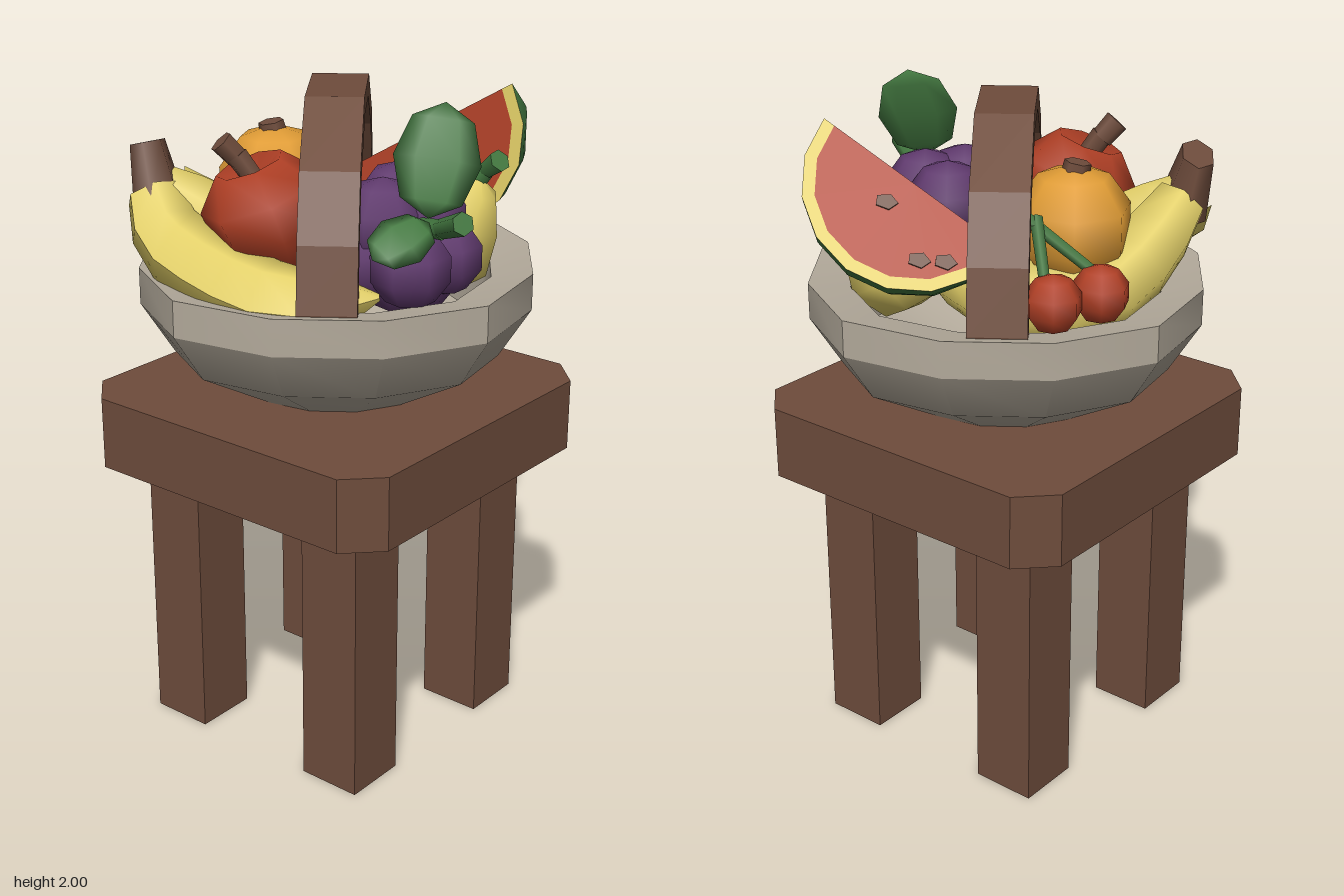
import * as THREE from 'three';
import { toCreasedNormals } from 'three/addons/utils/BufferGeometryUtils.js';

const mat = (name, color) => {
  const m = new THREE.MeshStandardMaterial({ color });
  m.name = name;
  return m;
};
const V = (a) => new THREE.Vector3(...a);

export function createModel() {
  const root = new THREE.Group();
  root.name = 'fruitBasketOnStool';
  const wood = mat('wood', 0x6e4c3c);
  const stone = mat('bowlGrey', 0xb3aa9b);
  const yellow = mat('yellow', 0xe0cd66);
  const orange = mat('orange', 0xe09c35);
  const red = mat('red', 0xb04026);
  const purple = mat('purple', 0x603a6e);
  const green = mat('green', 0x437840);

  const add = (name, geo, material, pos = [0, 0, 0], parent = root) => {
    const m = new THREE.Mesh(geo, material);
    m.name = name;
    m.position.set(...pos);
    parent.add(m);
    return m;
  };
  // turn a mesh so its own y axis follows dir
  const aim = (m, dir) => {
    m.quaternion.setFromUnitVectors(new THREE.Vector3(0, 1, 0), V(dir).normalize());
    return m;
  };
  // tapered rod from a to b
  const rod = (name, a, b, ra, rb, material, sides = 6) => {
    const d = V(b).sub(V(a));
    const mid = V(a).add(V(b)).multiplyScalar(0.5);
    return aim(add(name, new THREE.CylinderGeometry(rb, ra, d.length(), sides), material, mid.toArray()), d.toArray());
  };
  const lathe = (pts, sides) => new THREE.LatheGeometry(pts.map((p) => new THREE.Vector2(...p)), sides);

  // stool seat with cut corners
  const h = 0.545, c = 0.445;
  const seat = new THREE.Shape([[-c, -h], [c, -h], [h, -c], [h, c], [c, h], [-c, h], [-h, c], [-h, -c]]
    .map((p) => new THREE.Vector2(...p)));
  const seatGeo = new THREE.ExtrudeGeometry(seat, { depth: 0.22, bevelEnabled: false });
  seatGeo.rotateX(-Math.PI / 2);
  add('seat', seatGeo, wood, [0.005, 0.87, 0.012]);
  for (const sx of [-1, 1]) for (const sz of [-1, 1]) {
    add('leg', new THREE.BoxGeometry(0.197, 0.88, 0.197), wood, [0.004 + sx * 0.301, 0.44, 0.014 + sz * 0.303]);
  }

  // bowl: twelve sides, every third corner reaching further out
  const profile = [[0, 1.09], [0.27, 1.09], [0.51, 1.225], [0.607, 1.375],
    [0.607, 1.483], [0.48, 1.463], [0.445, 1.27], [0.25, 1.17], [0, 1.16]];
  const bowlGeo = lathe(profile, 12);
  const bp = bowlGeo.attributes.position;
  for (let k = 0; k < bp.count; k++) {
    const f = Math.floor(k / profile.length) % 3 === 0 ? 1 : 0.96;
    bp.setXYZ(k, bp.getX(k) * f, bp.getY(k), bp.getZ(k) * f);
  }
  add('bowl', toCreasedNormals(bowlGeo, 0.535), stone).rotation.y = -0.15;

  // arched strap handle
  const outer = [[0.51, 1.36], [0.525, 1.48], [0.48, 1.66], [0.375, 1.835], [0.15, 1.985]];
  const inner = [[0.105, 1.93], [0.325, 1.795], [0.42, 1.64], [0.465, 1.47], [0.45, 1.36]];
  const flip = (pts) => pts.map(([x, y]) => [-x, y]).reverse();
  const strap = new THREE.Shape([...outer, ...flip(outer), ...flip(inner), ...inner].map((p) => new THREE.Vector2(...p)));
  const strapGeo = new THREE.ExtrudeGeometry(strap, { depth: 0.165, bevelEnabled: false });
  strapGeo.translate(0, 0, -0.0825);
  add('handle', strapGeo, wood).rotation.y = -0.943;

  // bananas: tubes narrowed towards both ends
  const banana = (pts, r) => {
    const path = new THREE.CatmullRomCurve3(pts.map(V));
    const n = 8, sides = 6;
    const geo = new THREE.TubeGeometry(path, n, r, sides, false);
    const p = geo.attributes.position, v = new THREE.Vector3();
    const taper = [0.7, 0.9, 1, 1, 1, 1, 0.9, 0.65, 0.08];
    for (let i = 0; i <= n; i++) {
      const mid = path.getPointAt(i / n);
      for (let j = 0; j <= sides; j++) {
        const k = i * (sides + 1) + j;
        v.fromBufferAttribute(p, k).sub(mid).multiplyScalar(taper[i]).add(mid);
        p.setXYZ(k, v.x, v.y, v.z);
      }
    }
    geo.computeVertexNormals();
    add('banana', geo, yellow);
  };
  banana([[-0.36, 1.69, 0.39], [-0.27, 1.58, 0.42], [-0.08, 1.51, 0.43], [0.14, 1.47, 0.4], [0.36, 1.5, 0.26]], 0.115);
  banana([[-0.37, 1.69, 0.35], [-0.22, 1.58, 0.25], [0, 1.5, 0.17], [0.15, 1.48, 0.08]], 0.11);
  banana([[-0.39, 1.69, 0.31], [-0.37, 1.56, 0.15], [-0.33, 1.48, -0.02], [-0.18, 1.47, -0.15], [0.16, 1.51, -0.2]], 0.115);
  // flattened stem joining the bananas
  const tipGeo = new THREE.CylinderGeometry(0.085, 0.125, 0.175, 6);
  tipGeo.scale(0.6, 1, 1);
  tipGeo.rotateY(0.643);
  aim(add('bananaStem', tipGeo, wood, [-0.39, 1.74, 0.355]), [-0.05, 0.17, -0.01]);

  // orange
  add('orange', new THREE.SphereGeometry(0.175, 7, 5), orange, [-0.23, 1.665, 0.01]);
  rod('orangeStem', [-0.235, 1.81, 0.01], [-0.24, 1.847, 0.015], 0.042, 0.038, wood);

  // apple
  const appleGeo = lathe([[0, -0.13], [0.09, -0.16], [0.165, -0.05], [0.18, 0.06], [0.1, 0.15], [0, 0.1]], 7);
  aim(add('apple', appleGeo, red, [-0.03, 1.665, 0.27]), [-0.25, 1, 0.25]);
  rod('appleStem', [-0.06, 1.76, 0.29], [-0.1, 1.83, 0.32], 0.03, 0.033, wood);
  rod('appleStem', [-0.1, 1.82, 0.315], [-0.13, 1.87, 0.35], 0.033, 0.036, wood);

  // cherries and their stems
  for (const [x, z, ex, ez] of [[-0.38, -0.275, -0.235, -0.165], [-0.435, -0.135, -0.22, -0.185]]) {
    add('cherry', new THREE.SphereGeometry(0.084, 7, 5), red, [x, 1.55, z]);
    rod('cherryStem', [x + 0.03, 1.61, z], [ex, 1.73, ez], 0.016, 0.019, green, 5);
  }

  // pear
  const pearGeo = lathe([[0, -0.14], [0.11, -0.12], [0.165, -0.02], [0.13, 0.1], [0.07, 0.19], [0, 0.22]], 7);
  aim(add('pear', pearGeo, yellow, [0.215, 1.52, -0.235]), [0.45, 0.85, -0.16]);
  rod('pearStem', [0.29, 1.68, -0.27], [0.33, 1.74, -0.28], 0.024, 0.024, green);
  rod('pearStem', [0.325, 1.735, -0.28], [0.38, 1.775, -0.265], 0.026, 0.034, green);

  // grapes
  for (const [x, y, z, r] of [[0.18, 1.66, -0.05, 0.125], [0.31, 1.66, 0, 0.125], [0.25, 1.655, 0.11, 0.13],
    [0.12, 1.59, 0.05, 0.125], [0.38, 1.56, 0, 0.115], [0.37, 1.56, 0.14, 0.12], [0.22, 1.55, 0.17, 0.115],
    [0.27, 1.54, 0.02, 0.17]]) {
    add('grape', new THREE.SphereGeometry(r, 7, 5), purple, [x, y, z]);
  }
  rod('grapeStem', [0.36, 1.66, 0.09], [0.47, 1.68, 0.13], 0.025, 0.028, green);
  rod('grapeStem', [0.46, 1.68, 0.125], [0.575, 1.73, 0.185], 0.028, 0.033, green);

  // leaves: flattened low spheres from base to tip
  const leaf = (a, b, width, normal, thick) => {
    const y = V(b).sub(V(a)), len = y.length();
    y.normalize();
    const x = y.clone().cross(V(normal)).normalize();
    const geo = new THREE.SphereGeometry(1, 6, 4);
    geo.scale(width / 2, len / 2, thick / 2);
    const m = add('leaf', geo, green, V(a).add(V(b)).multiplyScalar(0.5).toArray());
    m.quaternion.setFromRotationMatrix(new THREE.Matrix4().makeBasis(x, y, x.clone().cross(y)));
  };
  leaf([0.435, 1.71, 0.15], [0.4, 2, 0.03], 0.24, [0.6, 0.3, 0.78], 0.05);
  leaf([0.44, 1.7, 0.15], [0.39, 1.63, 0.335], 0.16, [0.5, 0.8, 0.2], 0.045);
  leaf([0.04, 1.64, -0.31], [0.1, 1.6, -0.11], 0.08, [-0.3, 0.9, 0.1], 0.03);

  // melon wedge: local y runs along the cut edge, -x into the upper cut face
  const melon = new THREE.Group();
  melon.name = 'melonWedge';
  const along = V([0.48, 0.3, -0.16]).normalize();
  const into = V([0.11, -0.59, -0.8]);
  into.addScaledVector(along, -into.dot(along)).normalize();
  const mx = into.clone().negate();
  melon.quaternion.setFromRotationMatrix(new THREE.Matrix4().makeBasis(mx, along, mx.clone().cross(along)));
  melon.position.set(0.065, 1.805, -0.322);
  root.add(melon);
  const R = 0.31, open = 0.88, half = Math.PI / 2;
  add('melonRind', new THREE.SphereGeometry(R, 4, 8, -open, open), green, [0, 0, 0], melon);
  for (const [start, turn] of [[half, 0], [-half, Math.PI - open]]) {
    add('melonFlesh', new THREE.CircleGeometry(R - 0.035, 8, start, Math.PI), red, [0, 0, 0], melon).rotation.y = turn;
    add('melonPith', new THREE.RingGeometry(R - 0.035, R, 8, 1, start, Math.PI), yellow, [0, 0, 0], melon).rotation.y = turn;
  }
  for (const [s, t] of [[-0.2, 0.13], [-0.14, 0.17], [0.03, 0.09]]) {
    const seed = add('melonSeed', new THREE.CylinderGeometry(0.033, 0.033, 0.008, 5), wood, [-t, s, 0.003], melon);
    seed.rotation.set(half, 0.5, 0);
    seed.scale.x = 0.7;
  }
  return root;
}
